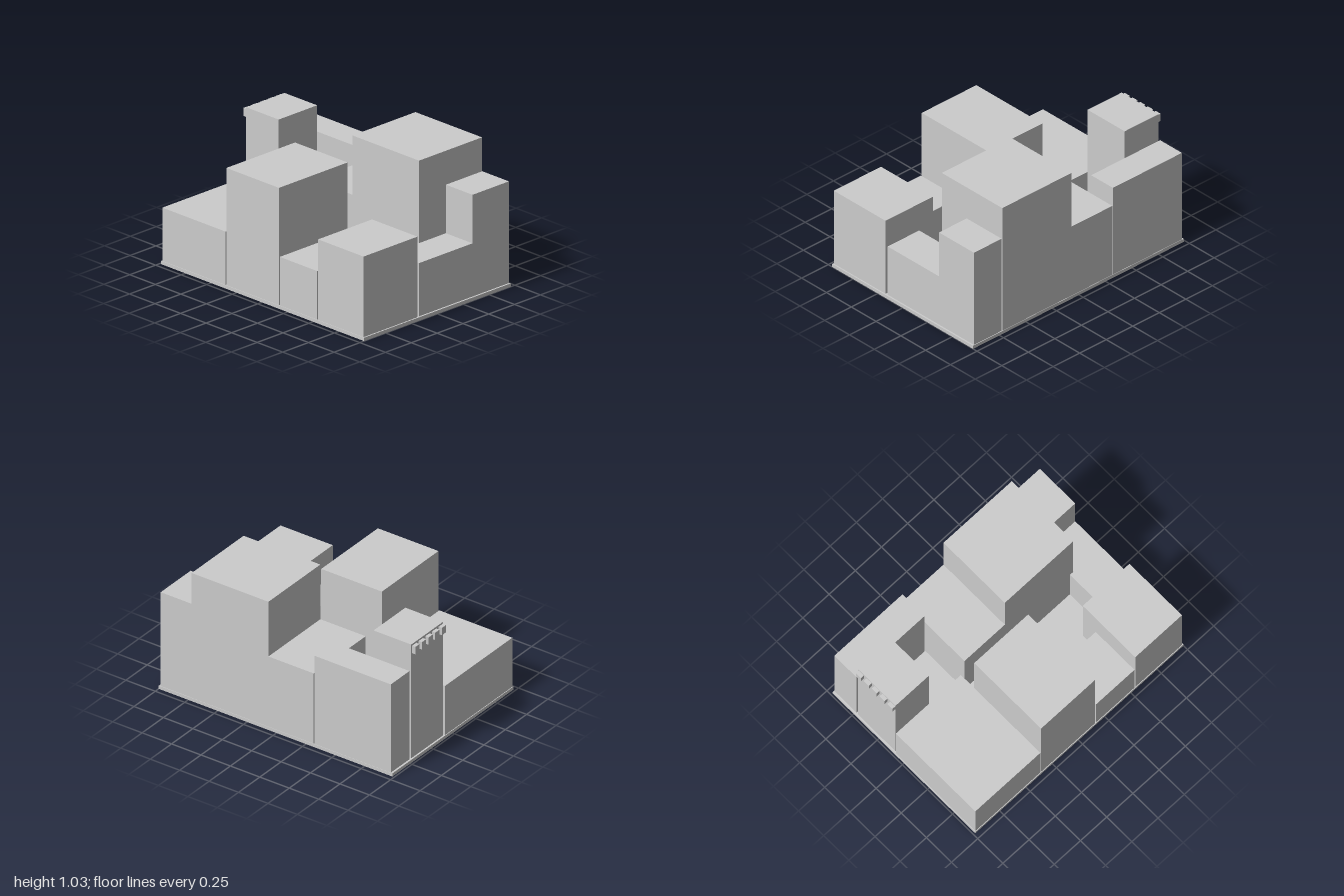
import * as THREE from 'three';

const material = new THREE.MeshStandardMaterial({ color: 0xcccccc, flatShading: true });
const BASE_TOP = 0.025;

export function createModel() {
  const group = new THREE.Group();
  group.name = 'cityBlock';

  const add = (name, geometry) => {
    const mesh = new THREE.Mesh(geometry, material);
    mesh.name = name;
    group.add(mesh);
    return mesh;
  };

  // Box given by its limits on each axis
  const block = (name, x0, x1, y0, y1, z0, z1) =>
    add(name, new THREE.BoxGeometry(x1 - x0, y1 - y0, z1 - z0))
      .position.set((x0 + x1) / 2, (y0 + y1) / 2, (z0 + z1) / 2);

  // Stepped building: a side outline extruded to a given depth
  const stepped = (name, points, depth) =>
    add(name, new THREE.ExtrudeGeometry(
      new THREE.Shape(points.map(([a, b]) => new THREE.Vector2(a, b))),
      { depth, bevelEnabled: false }));

  // Ground slab
  block('baseSlab', -0.985, 1, 0, BASE_TOP, -0.71, 0.71);

  // Front row and left side
  const buildings = [
    ['frontLeftBuilding', -0.98, -0.36, 0.42, -0.085, 0.705],
    ['frontTower', -0.353, 0.162, 0.895, 0.04, 0.705],
    ['smallFrontBuilding', 0.17, 0.537, 0.385, 0.32, 0.705],
    ['frontRightBuilding', 0.545, 0.99, 0.623, 0.183, 0.705],
    ['backLeftBuilding', -0.97, -0.32, 0.735, -0.707, -0.487],
    ['leftTower', -0.972, -0.652, 0.94, -0.47, -0.097],
  ];
  for (const [name, x0, x1, top, z0, z1] of buildings) {
    block(name, x0, x1, BASE_TOP, top, z0, z1);
  }

  // Row of small projections near the top of the left tower
  for (let i = 0; i < 5; i++) {
    const z = -0.436 + i * 0.078;
    block('balcony' + (i + 1), -1, -0.972, 0.867, 0.926, z - 0.025, z + 0.025);
  }

  // Tall back building with a low wing on its left
  stepped('backTower', [
    [-0.315, BASE_TOP], [0.722, BASE_TOP], [0.722, 1.03],
    [0.07, 1.03], [0.07, 0.59], [-0.315, 0.59],
  ], 0.61).position.z = -0.707;

  // Right building: tall at the back, low towards the front
  const right = stepped('rightBuilding', [
    [-0.165, BASE_TOP], [0.705, BASE_TOP], [0.705, 0.78],
    [0.353, 0.78], [0.353, 0.42], [-0.165, 0.42],
  ], 0.261);
  right.rotation.y = Math.PI / 2;
  right.position.x = 0.726;
  block('rightBuildingWing', 0.69, 0.726, BASE_TOP, 0.42, -0.095, 0.165);

  return group;
}
